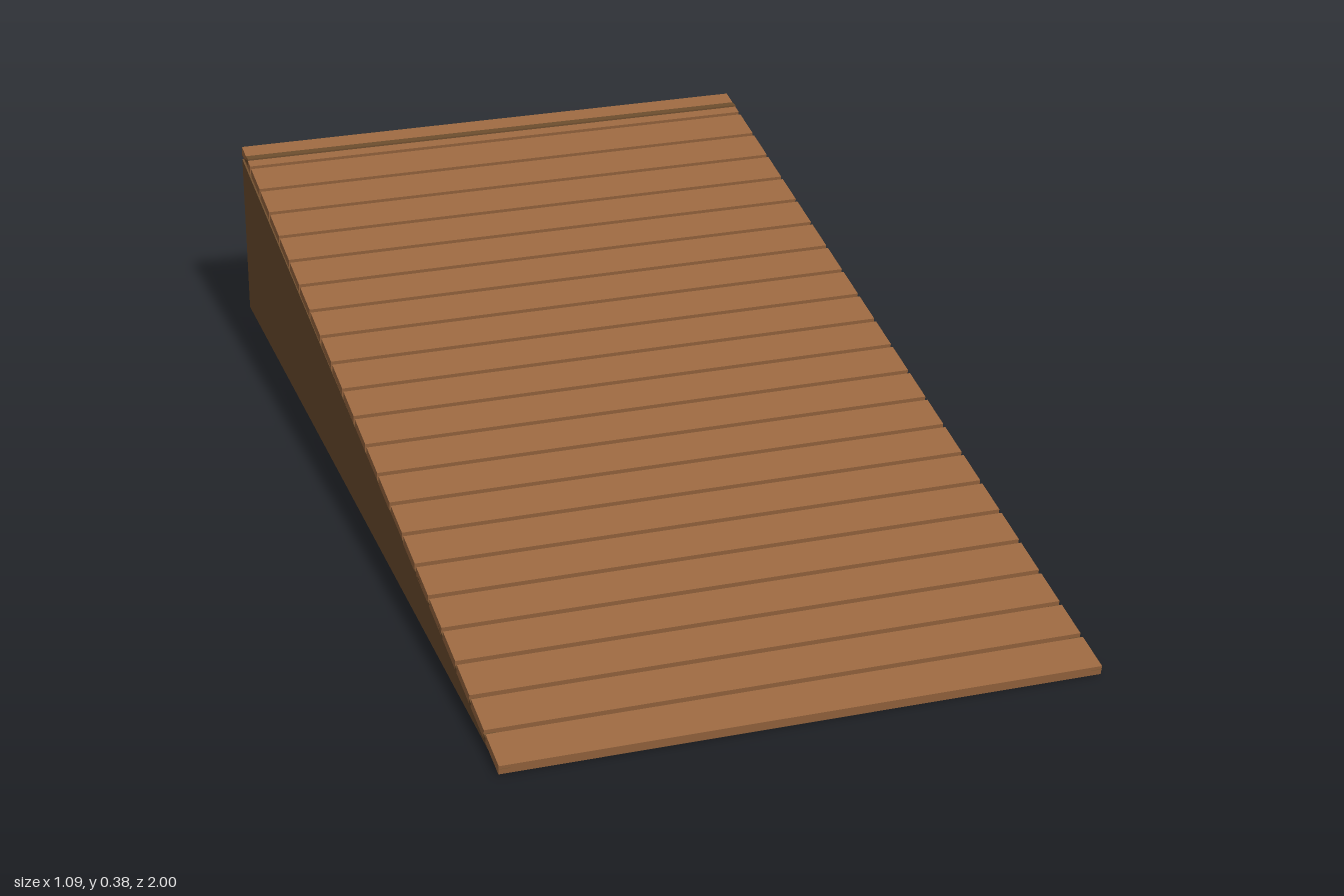
import * as THREE from 'three';

export function createModel() {
  const model = new THREE.Group();
  const plankWood = new THREE.MeshStandardMaterial({ color: 0x9b6840 });
  plankWood.name = 'plank wood';
  const frameWood = new THREE.MeshStandardMaterial({ color: 0x6e4e2e });
  frameWood.name = 'frame wood';

  const width = 1.09;
  const slope = 0.181;
  const count = 22;
  const baseY = 0.012;
  const backY = 0.355;
  const wall = 0.02;

  // Sloping deck of separate planks, rising toward the back
  const deck = new THREE.Group();
  deck.name = 'deck';
  const plankGeometry = new THREE.BoxGeometry(width, 0.018, 0.082);
  for (let i = 0; i < count; i++) {
    const z = 0.958 - (i * 1.916) / (count - 1);
    const plank = new THREE.Mesh(plankGeometry, plankWood);
    plank.name = 'plank';
    plank.position.set(0, 0.1925 - z * Math.tan(slope), z);
    plank.rotation.x = slope;
    deck.add(plank);
  }
  model.add(deck);

  // Triangular side walls
  const profile = new THREE.Shape([
    new THREE.Vector2(-1, baseY),
    new THREE.Vector2(1, baseY),
    new THREE.Vector2(1, backY),
  ]);
  const sideGeometry = new THREE.ExtrudeGeometry(profile, { depth: wall, bevelEnabled: false });
  sideGeometry.translate(0, 0, -wall / 2);
  sideGeometry.rotateY(Math.PI / 2);
  for (const side of [-1, 1]) {
    const panel = new THREE.Mesh(sideGeometry, frameWood);
    panel.name = side > 0 ? 'leftWall' : 'rightWall';
    panel.position.x = side * (width / 2 - wall / 2);
    model.add(panel);
  }

  // Upright panel closing the back
  const back = new THREE.Mesh(
    new THREE.BoxGeometry(width - 2 * wall - 0.006, backY - baseY, wall), frameWood);
  back.name = 'backWall';
  back.position.set(0, (backY + baseY) / 2, -1 + wall / 2);
  model.add(back);

  // Level batten lying across the top plank
  const batten = new THREE.Mesh(new THREE.BoxGeometry(width, 0.014, 0.06), frameWood);
  batten.name = 'topBatten';
  batten.position.set(0, 0.37, -0.969);
  model.add(batten);

  return model;
}
